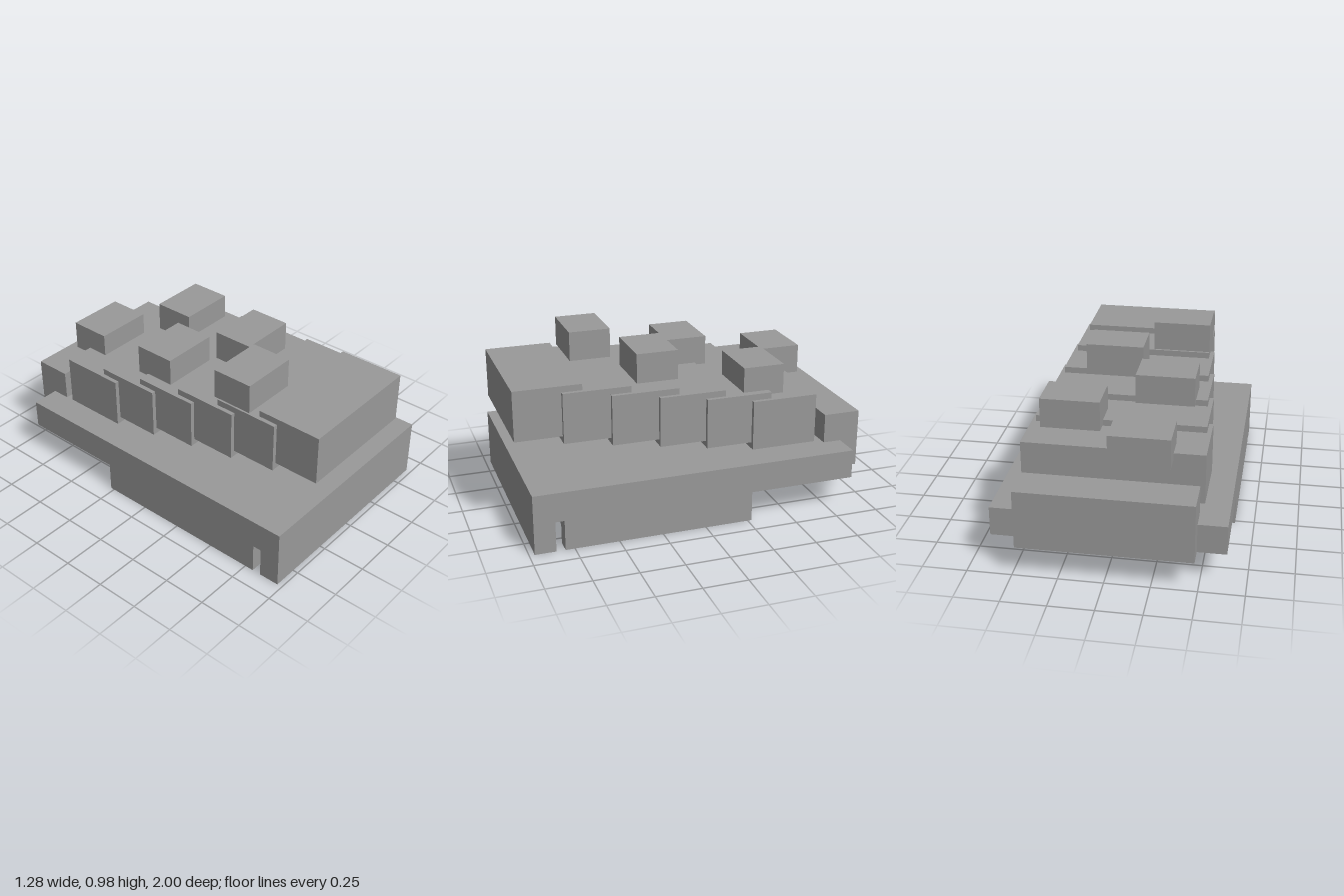
import * as THREE from 'three';

const grey = new THREE.MeshStandardMaterial({ color: 0x999999 });
grey.name = 'grey';

// Box given by its extents along each axis
function block(name, [x0, x1], [y0, y1], [z0, z1]) {
  const mesh = new THREE.Mesh(new THREE.BoxGeometry(x1 - x0, y1 - y0, z1 - z0), grey);
  mesh.name = name;
  mesh.position.set((x0 + x1) / 2, (y0 + y1) / 2, (z0 + z1) / 2);
  return mesh;
}

export function createModel() {
  const model = new THREE.Group();
  model.name = 'steppedBlocks';

  // Base: deck with a front skirt and two shorter side skirts
  const base = new THREE.Group();
  base.name = 'base';
  base.add(block('deck', [-0.64, 0.64], [0.173, 0.34], [-0.89, 0.97]));
  base.add(block('frontSkirt', [-0.64, 0.64], [0, 0.173], [0.852, 0.97]));
  base.add(block('leftSkirt', [0.555, 0.64], [0, 0.173], [-0.273, 0.802]));
  base.add(block('rightSkirt', [-0.64, -0.555], [0, 0.173], [-0.273, 0.802]));
  base.add(block('rearBlock', [-0.48, 0.48], [0.173, 0.51], [-1, -0.785]));
  model.add(base);

  // Overlapping steps, lower and wider toward the back
  const steps = new THREE.Group();
  steps.name = 'steps';
  for (let i = 0; i < 6; i++) {
    const half = 0.379 + i * 0.0243;
    const top = 0.832 - i * 0.0357;
    const front = 1 - i * 0.2659;
    steps.add(block('step' + (i + 1), [-half, half], [top - 0.287, top], [front - 0.382, front]));
  }
  model.add(steps);

  // Staggered small blocks above the steps, descending toward the back
  const topBlocks = new THREE.Group();
  topBlocks.name = 'topBlocks';
  [-0.24, 0.117, -0.218, 0.265, -0.16].forEach((x, i) => {
    const top = 0.98 - i * 0.049;
    const front = 0.572 - i * 0.289;
    topBlocks.add(block('topBlock' + (i + 1), [x - 0.167, x + 0.167], [top - 0.17, top], [front - 0.24, front]));
  });
  model.add(topBlocks);

  return model;
}
